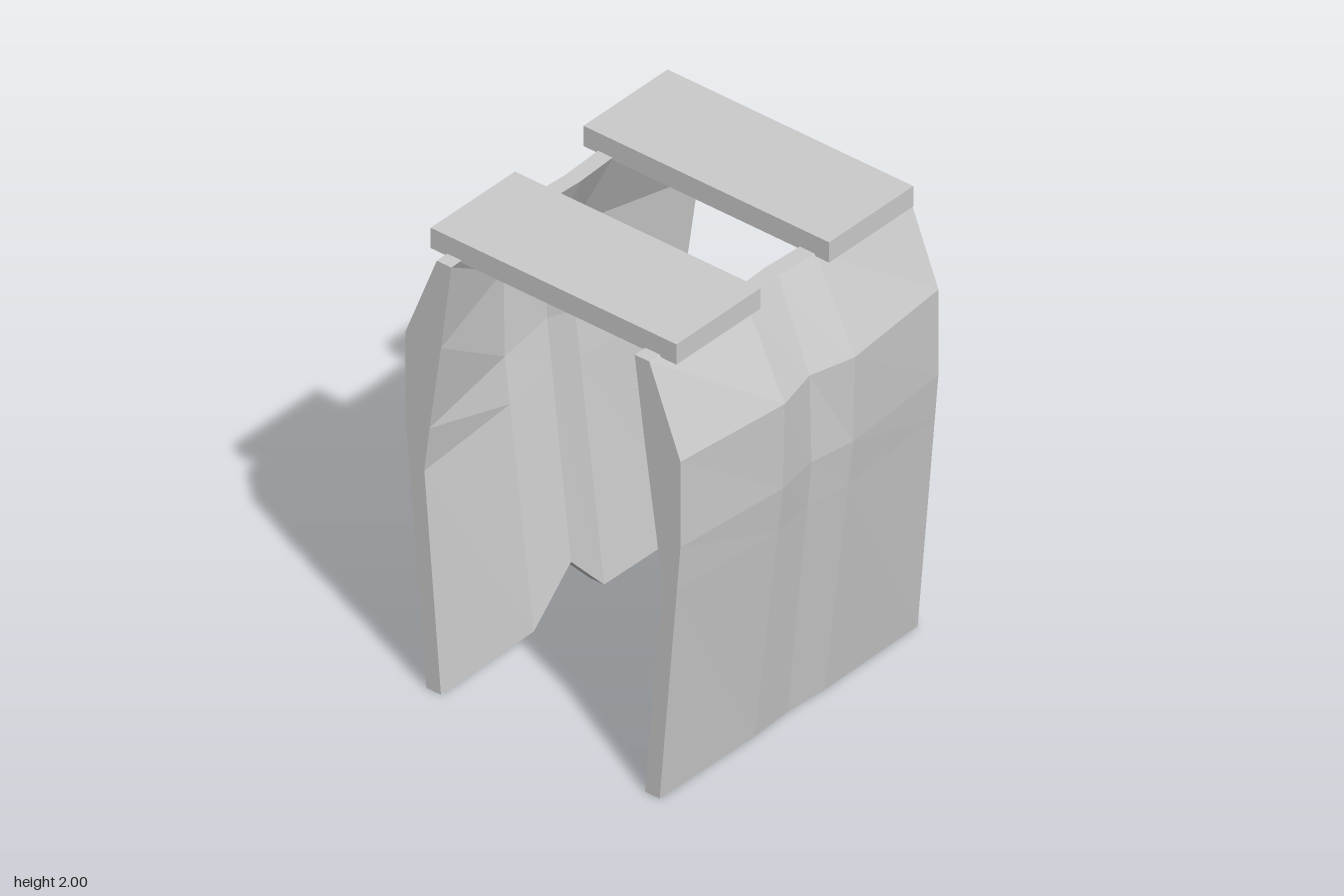
import * as THREE from 'three';

const material = new THREE.MeshStandardMaterial({ color: 0xcccccc, flatShading: true });

// Heights of the cross-section rows, top to bottom
const ROWS = [1.92, 1.54, 1.16, 0.96, 0];
// Depth of the outer and inner surface per row, for the edge, ridge and centre columns
const EDGE = { outer: [0.51, 0.66, 0.66, 0.643, 0.56], inner: [0.44, 0.49, 0.545, 0.57, 0.49] };
const RIDGE = { outer: [0.52, 0.71, 0.7, 0.677, 0.565], inner: [0.45, 0.64, 0.635, 0.61, 0.495] };
const CENTRE = { outer: [0.51, 0.66, 0.67, 0.65, 0.555], inner: [0.44, 0.595, 0.6, 0.58, 0.485] };
const COLUMNS = [[-0.735, EDGE], [-0.2, RIDGE], [0, CENTRE], [0.2, RIDGE], [0.735, EDGE]];

// Body plate lofted across closed vertical sections; notch raises the bottom centre
function plateGeometry(notch) {
  const top = ROWS[0], n = ROWS.length;
  const rings = COLUMNS.map(([x, section]) => {
    const lift = x === 0 ? notch : 0;
    const point = (depths) => (y, i) => [x, y + lift * (1 - y / top), depths[i]];
    return [...ROWS.map(point(section.outer)), ...ROWS.map(point(section.inner)).reverse()];
  });
  const positions = [];
  const quad = (a, b, c, d) => positions.push(...a, ...b, ...c, ...a, ...c, ...d);

  for (let c = 0; c < rings.length - 1; c++) {
    const p = rings[c], q = rings[c + 1];
    for (let i = 0; i < 2 * n; i++) {
      const j = (i + 1) % (2 * n);
      quad(p[i], p[j], q[j], q[i]);
    }
  }
  // Side edges
  const left = rings[rings.length - 1], right = rings[0], last = 2 * n - 1;
  for (let i = 0; i < n - 1; i++) {
    quad(left[i], left[i + 1], left[last - i - 1], left[last - i]);
    quad(right[last - i], right[last - i - 1], right[i + 1], right[i]);
  }
  const geometry = new THREE.BufferGeometry();
  geometry.setAttribute('position', new THREE.Float32BufferAttribute(positions, 3));
  geometry.computeVertexNormals();
  return geometry;
}

export function createModel() {
  const model = new THREE.Group();
  model.name = 'bodyArmour';
  const add = (name, geometry) => {
    const mesh = new THREE.Mesh(geometry, material);
    mesh.name = name;
    model.add(mesh);
    return mesh;
  };

  // Front and back plates
  add('frontPlate', plateGeometry(0));
  add('backPlate', plateGeometry(0.21)).rotation.y = Math.PI;

  // Shoulder straps
  for (const [name, side] of [['leftShoulderStrap', 1], ['rightShoulderStrap', -1]]) {
    add(name, new THREE.BoxGeometry(0.48, 0.09, 1.18)).position.set(side * 0.435, 1.955, 0);
  }
  return model;
}
